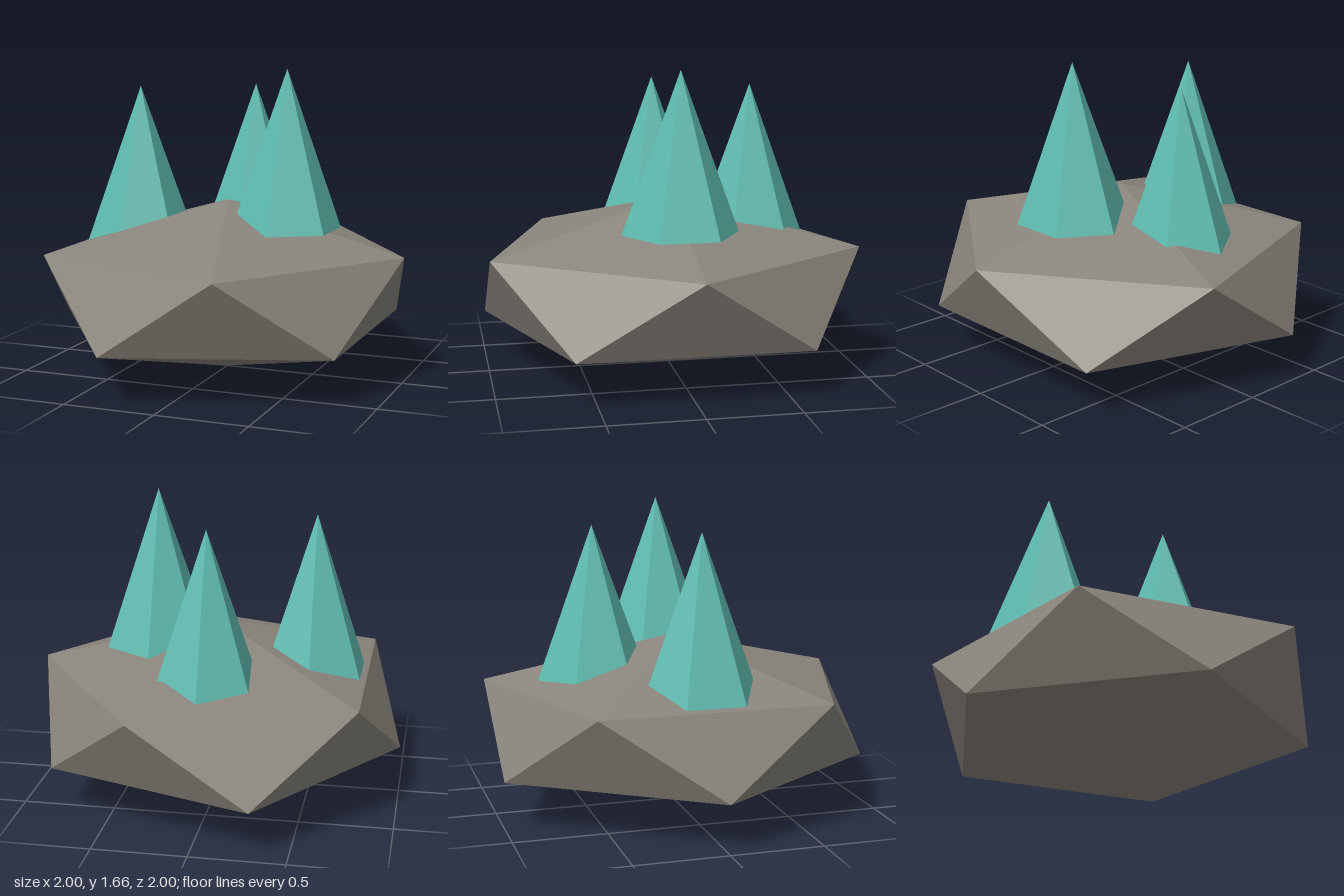
import * as THREE from 'three';
import { ConvexGeometry } from 'three/addons/geometries/ConvexGeometry.js';

const DEPTH = 1.0515; // slight stretch along z

export function createModel() {
  const model = new THREE.Group();
  model.name = 'crystalRock';

  const stone = new THREE.MeshStandardMaterial({ color: 0x8a857c, flatShading: true });
  stone.name = 'stone grey';
  const teal = new THREE.MeshStandardMaterial({ color: 0x5fbcb0, flatShading: true });
  teal.name = 'crystal teal';

  // Rock: squashed twenty-sided boulder with two staggered rings of five corners
  const corners = [new THREE.Vector3(0, 0.942, 0), new THREE.Vector3(0, 0, 0)];
  for (let i = 0; i < 5; i++) {
    const a = (i * Math.PI * 2) / 5;
    const x = Math.cos(a), z = Math.sin(a) * DEPTH;
    corners.push(new THREE.Vector3(x, 0.682, z), new THREE.Vector3(-x, 0.26, -z));
  }
  const rock = new THREE.Mesh(new ConvexGeometry(corners), stone);
  rock.name = 'rock';
  model.add(rock);

  // Crystals: six-sided spikes set into the top of the rock
  const height = 0.862;
  const spike = new THREE.ConeGeometry(0.3, height, 6);
  spike.scale(1, 1, DEPTH);
  spike.translate(0, height / 2, 0);
  const spots = [
    ['rightCrystal', -0.517, 0.69, 0],
    ['backCrystal', 0, 0.69, -0.452],
    ['leftCrystal', 0.343, 0.8, 0],
  ];
  for (const [name, x, y, z] of spots) {
    const crystal = new THREE.Mesh(spike, teal);
    crystal.name = name;
    crystal.position.set(x, y, z);
    model.add(crystal);
  }

  return model;
}
